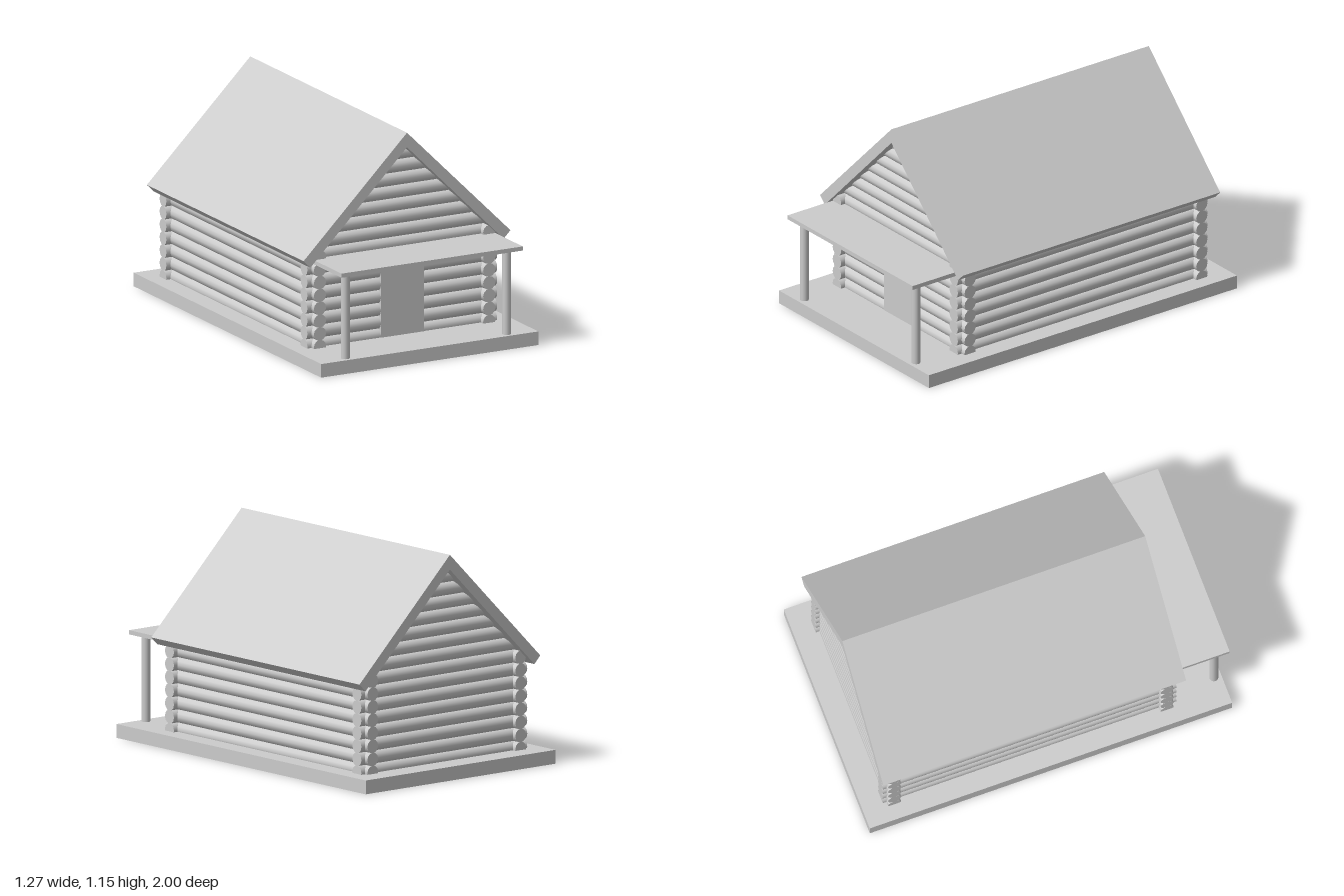
import * as THREE from 'three';

export function createModel() {
  const cabin = new THREE.Group();
  cabin.name = 'logCabin';
  const material = new THREE.MeshStandardMaterial({ color: 0xcccccc });

  function add(parent, name, geometry, x = 0, y = 0, z = 0) {
    const mesh = new THREE.Mesh(geometry, material);
    mesh.name = name;
    mesh.position.set(x, y, z);
    parent.add(mesh);
    return mesh;
  }
  function box(name, x0, x1, y0, y1, z0, z1) {
    return add(cabin, name, new THREE.BoxGeometry(x1 - x0, y1 - y0, z1 - z0),
      (x0 + x1) / 2, (y0 + y1) / 2, (z0 + z1) / 2);
  }

  // Log dimensions
  const R = 0.036, PITCH = 0.068, FIRST = 0.08, SIDES = 12;
  const FRONT_Z = 0.65, BACK_Z = -0.835, SIDE_X = 0.495;
  const ROOF_INNER = 1.078;

  // Foundation slab
  box('foundation', -0.635, 0.635, 0, 0.072, -1, 0.975);

  // Front and back walls, with gable logs shortening under the roof
  for (const [name, z] of [['frontWall', FRONT_Z], ['backWall', BACK_Z]]) {
    const wall = new THREE.Group();
    wall.name = name;
    cabin.add(wall);
    for (let i = 0; i < 15; i++) {
      const y = FIRST + i * PITCH;
      const half = i < 7 ? 0.555 : ROOF_INNER - y + 0.025;
      const log = new THREE.CylinderGeometry(R, R, half * 2, SIDES).rotateZ(Math.PI / 2);
      add(wall, i < 7 ? 'wallLog' : 'gableLog', log, 0, y, z);
    }
  }

  // Side walls, whose log ends cross the front and back logs at the corners
  for (const side of [1, -1]) {
    const wall = new THREE.Group();
    wall.name = side > 0 ? 'leftWall' : 'rightWall';
    cabin.add(wall);
    for (let i = 0; i < 8; i++) {
      const log = new THREE.CylinderGeometry(R, R, 1.6, SIDES).rotateX(Math.PI / 2);
      add(wall, 'wallLog', log, side * SIDE_X, FIRST + i * PITCH, -0.09);
    }
  }

  // Door panel
  box('door', -0.125, 0.125, 0.072, 0.48, 0.64, 0.688);

  // Pitched roof: one chevron section extruded along the ridge
  const section = new THREE.Shape([
    [0, 1.155], [-0.605, 0.555], [-0.565, 0.515],
    [0, ROOF_INNER], [0.565, 0.515], [0.605, 0.555],
  ].map(([x, y]) => new THREE.Vector2(x, y)));
  add(cabin, 'roof', new THREE.ExtrudeGeometry(section, { depth: 1.65, bevelEnabled: false }), 0, 0, -0.915);

  // Porch roof and its two posts
  box('porchRoof', -0.53, 0.53, 0.522, 0.544, 0.65, 1);
  for (const side of [1, -1]) {
    add(cabin, 'porchPost', new THREE.CylinderGeometry(0.023, 0.023, 0.46, SIDES), side * 0.472, 0.297, 0.935);
  }

  return cabin;
}
